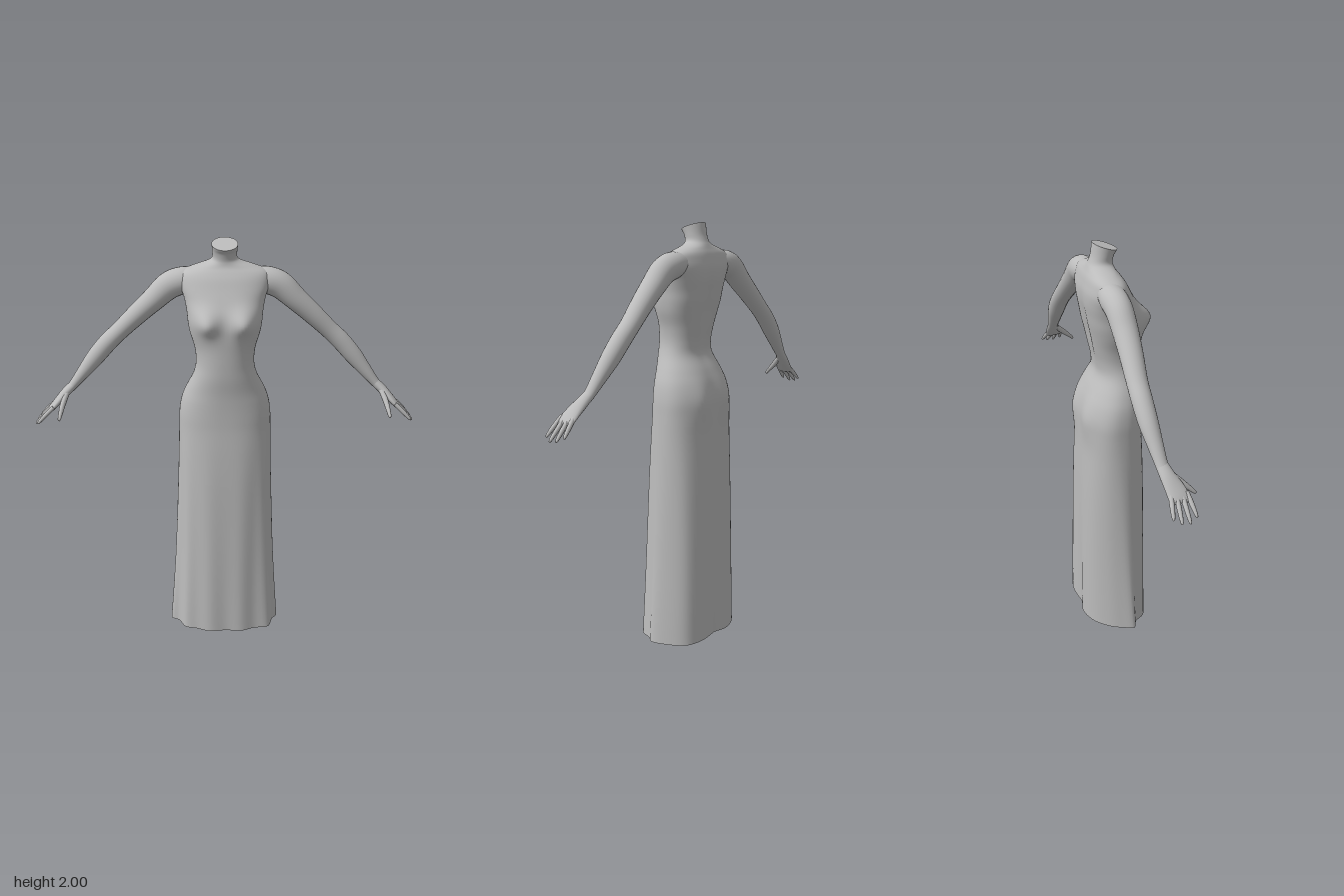
import * as THREE from 'three';

// Skin rings of points (ordered around the travel direction) and cap both ends.
function skin(rings, flip = false) {
  const n = rings[0].length, pos = [], idx = [];
  const tri = (a, b, c) => (flip ? idx.push(a, c, b) : idx.push(a, b, c));
  rings.forEach(r => r.forEach(p => pos.push(p.x, p.y, p.z)));
  for (let i = 0; i < rings.length - 1; i++) {
    for (let j = 0; j < n; j++) {
      const k = (j + 1) % n, a = i * n + j, b = i * n + k;
      tri(a, b, a + n);
      tri(b, b + n, a + n);
    }
  }
  [[rings[0], true], [rings[rings.length - 1], false]].forEach(([ring, start]) => {
    const base = pos.length / 3;
    const c = new THREE.Vector3();
    ring.forEach(p => { c.addScaledVector(p, 1 / n); pos.push(p.x, p.y, p.z); });
    pos.push(c.x, c.y, c.z);
    for (let j = 0; j < n; j++) {
      const k = (j + 1) % n;
      if (start) tri(base + n, base + k, base + j);
      else tri(base + n, base + j, base + k);
    }
  });
  const g = new THREE.BufferGeometry();
  g.setAttribute('position', new THREE.Float32BufferAttribute(pos, 3));
  g.setIndex(idx);
  g.computeVertexNormals();
  return g;
}

// Smooth interpolation through table rows, t in 0..1.
function sample(rows, t) {
  const f = t * (rows.length - 1), i = Math.min(Math.floor(f), rows.length - 2), u = f - i;
  const at = k => rows[Math.max(0, Math.min(rows.length - 1, k))];
  return rows[i].map((b, c) => {
    const a = at(i - 1)[c], d = at(i + 1)[c], e = at(i + 2)[c];
    return b + 0.5 * u * (d - a + u * (2 * a - 5 * b + 4 * d - e + u * (3 * (b - d) + e - a)));
  });
}

// Limb through rows of [x, y, z, thickness radius, width radius].
function limb(rows, side, segs = 14, steps = 6) {
  const rings = [], N = (rows.length - 1) * steps;
  const Z = new THREE.Vector3(0, 0, 1);
  const centre = t => new THREE.Vector3(...sample(rows, t).slice(0, 3));
  for (let i = 0; i <= N; i++) {
    const t = i / N, c = centre(t), [, , , r1, r2] = sample(rows, t);
    const T = centre(Math.min(1, t + 0.01)).sub(centre(Math.max(0, t - 0.01))).normalize();
    const n1 = Z.clone().cross(T).normalize(), n2 = T.clone().cross(n1);
    rings.push(Array.from({ length: segs }, (_, j) => {
      const a = j / segs * Math.PI * 2;
      const p = c.clone().addScaledVector(n1, r1 * Math.cos(a)).addScaledVector(n2, r2 * Math.sin(a));
      p.x *= side;
      return p;
    }));
  }
  return skin(rings, side < 0);
}

const bump = (v, mid, size) => Math.exp(-(((v - mid) / size) ** 2));

// Body from neck to hem: [y, half width, front z, back z, squareness]
const BODY = [
  [1.983, 0.058, 0.035, -0.073, 2], [1.95, 0.055, 0.022, -0.08, 2], [1.92, 0.057, 0.014, -0.09, 2],
  [1.903, 0.08, 0.014, -0.098, 2], [1.885, 0.135, 0.02, -0.106, 2.1], [1.865, 0.185, 0.035, -0.115, 2.2],
  [1.84, 0.2, 0.052, -0.122, 2.3], [1.80, 0.198, 0.073, -0.13, 2.4], [1.75, 0.182, 0.1, -0.13, 2.4],
  [1.70, 0.172, 0.125, -0.123, 2.4], [1.65, 0.167, 0.138, -0.115, 2.4], [1.60, 0.158, 0.142, -0.105, 2.3],
  [1.53, 0.138, 0.141, -0.092, 2.2], [1.46, 0.133, 0.14, -0.077, 2.2], [1.40, 0.147, 0.138, -0.075, 2.2],
  [1.33, 0.18, 0.132, -0.106, 2.2], [1.27, 0.203, 0.13, -0.128, 2.3], [1.20, 0.215, 0.13, -0.142, 2.4],
  [1.12, 0.218, 0.132, -0.146, 2.4], [1.0, 0.222, 0.138, -0.148, 2.4], [0.8, 0.23, 0.146, -0.155, 2.4],
  [0.4, 0.25, 0.155, -0.164, 2.4], [0, 0.28, 0.16, -0.17, 2.4],
];

// Wavy hem outline [x, z], blended in towards the floor
const HEM = new THREE.CatmullRomCurve3([
  [0.275, 0.03], [0.25, 0.06], [0.225, 0.125], [0.15, 0.137], [0.08, 0.16], [0, 0.153], [-0.08, 0.16],
  [-0.15, 0.135], [-0.21, 0.118], [-0.245, 0.062], [-0.285, 0.04], [-0.265, -0.02], [-0.23, -0.08],
  [-0.16, -0.145], [-0.07, -0.172], [0, -0.155], [0.06, -0.162], [0.125, -0.162], [0.2, -0.135], [0.25, -0.06],
].map(([x, z]) => new THREE.Vector3(x, 0, z)), true);

function bodyGeometry() {
  const rings = [], N = (BODY.length - 1) * 5, SEG = 80;
  for (let i = 0; i <= N; i++) {
    const [y, w, zf, zb, n] = sample(BODY, i / N);
    const mid = (zf + zb) / 2, half = (zf - zb) / 2;
    const fold = THREE.MathUtils.clamp(1 - y / 1.15, 0, 1);
    const tilt = THREE.MathUtils.smoothstep(y, 1.94, 1.983) * 0.32;
    rings.push(Array.from({ length: SEG }, (_, j) => {
      const a = j / SEG * Math.PI * 2, c = Math.cos(a), s = Math.sin(a);
      let x = w * Math.sign(c) * Math.abs(c) ** (2 / n);
      let z = mid + half * Math.sign(s) * Math.abs(s) ** (2 / n);
      const ax = Math.abs(x), front = Math.min(1, Math.max(0, s) * 2), back = Math.min(1, Math.max(0, -s) * 2);
      // bust, seat and spine
      z += front * 0.042 * bump(ax, 0.085, 0.052) * bump(y, 1.668, 0.055);
      z -= back * 0.014 * bump(ax, 0.085, 0.06) * bump(y, 1.19, 0.1);
      z += back * 0.012 * bump(x, 0, 0.03) * bump(y, 1.6, 0.17);
      // skirt folds
      const h = HEM.getPoint(j / SEG);
      x = THREE.MathUtils.lerp(x, h.x * w / 0.28, fold);
      z = THREE.MathUtils.lerp(z, h.z, fold);
      return new THREE.Vector3(x, y + tilt * (mid - z), z);
    }));
  }
  return skin(rings);
}

const ARM = [
  [0.12, 1.825, -0.05, 0.045, 0.05], [0.185, 1.815, -0.05, 0.06, 0.06], [0.25, 1.79, -0.048, 0.061, 0.058],
  [0.32, 1.728, -0.048, 0.053, 0.055], [0.40, 1.655, -0.053, 0.047, 0.05], [0.48, 1.578, -0.06, 0.042, 0.045],
  [0.54, 1.52, -0.061, 0.043, 0.044], [0.60, 1.452, -0.058, 0.041, 0.041], [0.66, 1.38, -0.051, 0.031, 0.033],
  [0.71, 1.32, -0.045, 0.022, 0.027], [0.735, 1.295, -0.04, 0.02, 0.028],
];
const PALM = [
  [0.71, 1.32, -0.045, 0.02, 0.026], [0.75, 1.283, -0.034, 0.021, 0.033], [0.79, 1.243, -0.018, 0.017, 0.043],
  [0.82, 1.213, -0.01, 0.012, 0.046], [0.832, 1.202, -0.01, 0.004, 0.04],
];
const THUMB = [
  [0.74, 1.29, -0.02, 0.013, 0.013], [0.757, 1.25, 0.02, 0.013, 0.014], [0.767, 1.215, 0.058, 0.01, 0.01],
  [0.772, 1.193, 0.08, 0.007, 0.007], [0.773, 1.189, 0.085, 0.001, 0.001],
];
// Fingers: root z, tip z, tip distance along the hand
const FINGERS = [[-0.043, -0.06, 0.074], [-0.02, -0.029, 0.09], [0.003, 0.006, 0.094], [0.025, 0.04, 0.08]];

export function createModel() {
  const grey = new THREE.MeshStandardMaterial({ color: 0xbcbcbc });
  grey.name = 'plain grey';
  const model = new THREE.Group();
  model.name = 'gownFigure';
  const add = (parent, name, geometry) => {
    const m = new THREE.Mesh(geometry, grey);
    m.name = name;
    parent.add(m);
  };

  add(model, 'bodyAndGown', bodyGeometry());

  for (const [label, side] of [['left', 1], ['right', -1]]) {
    const g = new THREE.Group();
    g.name = label + 'Arm';
    add(g, label + 'ArmLimb', limb(ARM, side, 24));
    add(g, label + 'Palm', limb(PALM, side, 20));
    add(g, label + 'Thumb', limb(THUMB, side, 12));
    FINGERS.forEach(([z0, z1, len], i) => {
      const rows = [[0, 0.01], [0.35, 0.0105], [0.7, 0.009], [0.94, 0.006], [1, 0.001]].map(([t, r]) =>
        [0.803 + len * t, 1.232 - len * t * (0.9 + 0.08 * t), z0 + (z1 - z0) * t, r, r]);
      add(g, label + 'Finger' + (i + 1), limb(rows, side, 10, 4));
    });
    model.add(g);
  }
  return model;
}
